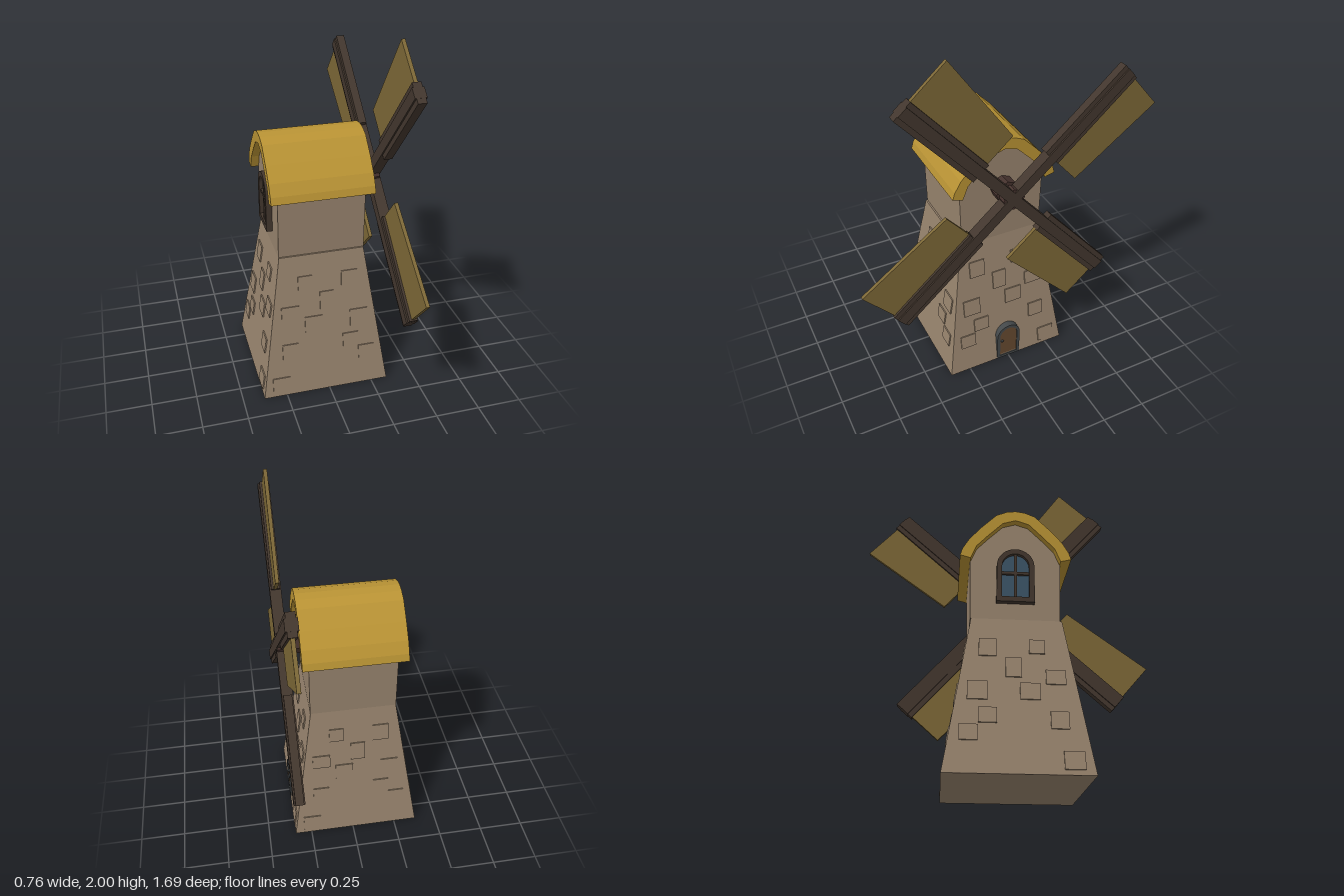
import * as THREE from 'three';

const mat = (color) => new THREE.MeshStandardMaterial({ color, flatShading: true });
const stone = mat(0x98846e), thatch = mat(0xb99334), canvas = mat(0x7d6837), timber = mat(0x43372e);
const iron = mat(0x44484a), wood = mat(0x66492f), axleWood = mat(0x45322d), glass = mat(0x3c5568);

const CX = -0.018, CZ = 0.007; // tower axis
const HUB_Y = 1.155;

function add(parent, name, geometry, material, x = 0, y = 0, z = 0) {
  const mesh = new THREE.Mesh(geometry, material);
  mesh.name = name;
  mesh.position.set(x, y, z);
  parent.add(mesh);
  return mesh;
}

// Side-on outline extruded along +x between x0 and x1
function slab(shape, x0, x1) {
  const g = new THREE.ExtrudeGeometry(shape, { depth: x1 - x0, bevelEnabled: false, curveSegments: 8 });
  return g.rotateY(Math.PI / 2).translate(x0, 0, 0);
}

const outline = (pts) => new THREE.Shape(pts.map((p) => new THREE.Vector2(...p)));
const mirrored = (half) => [...half, ...half.filter((p) => p[0] > 0).reverse().map(([a, b]) => [-a, b])];

// Round-topped opening
function arch(w, y0, y1) {
  const r = w / 2, s = new THREE.Shape();
  s.moveTo(-r, y0);
  s.lineTo(r, y0);
  s.lineTo(r, y1 - r);
  s.absarc(0, y1 - r, r, 0, Math.PI, false);
  s.closePath();
  return s;
}

function archFrame(w, y0, y1, t) {
  const s = arch(w, y0, y1);
  s.holes.push(arch(w - 2 * t, y0 + t, y1 - t));
  return s;
}

function buildTower() {
  const tower = new THREE.Group();
  tower.name = 'tower';
  const bottom = 0.3625, top = 0.237, height = 0.83;
  const base = new THREE.CylinderGeometry(top * Math.SQRT2, bottom * Math.SQRT2, height, 4, 1, false, Math.PI / 4);
  add(tower, 'taperedBase', base, stone, CX, height / 2, CZ);

  // Upper storey with rounded gable ends
  const gable = mirrored([[0.235, 0.83], [0.243, 1.16], [0.215, 1.24], [0.155, 1.31], [0.075, 1.385], [0, 1.41]]);
  add(tower, 'gableStorey', slab(outline(gable), -0.255, 0.222), stone);

  // Scattered raised stones on each sloping wall: [across, height, width, tall]
  const stones = [
    [-0.15, 0.66, 0.09, 0.1], [0.1, 0.67, 0.08, 0.08], [-0.02, 0.55, 0.08, 0.11],
    [0.19, 0.5, 0.1, 0.08], [-0.2, 0.42, 0.1, 0.1], [0.06, 0.42, 0.1, 0.09],
    [-0.24, 0.2, 0.09, 0.08], [0.2, 0.27, 0.09, 0.09], [0.26, 0.07, 0.1, 0.09], [-0.15, 0.29, 0.09, 0.08],
  ];
  const lean = Math.atan((bottom - top) / height);
  for (let k = 0; k < 4; k++) {
    const wall = new THREE.Group();
    wall.name = 'wallStones';
    wall.position.set(CX, 0, CZ);
    wall.rotation.y = k * Math.PI / 2;
    for (const [u, y, w, h] of stones) {
      const z = bottom + (top - bottom) * y / height;
      const b = add(wall, 'stone', new THREE.BoxGeometry(w, h, 0.014), stone, k % 2 ? u : -u, y, z);
      b.rotation.x = -lean;
    }
    tower.add(wall);
  }
  return tower;
}

function buildRoof() {
  const outer = mirrored([[0.297, 1.175], [0.285, 1.215], [0.25, 1.275], [0.185, 1.35], [0.105, 1.43], [0.05, 1.453], [0, 1.46]]);
  const inner = mirrored([[0.24, 1.16], [0.21, 1.235], [0.15, 1.3], [0.07, 1.38], [0, 1.402]]);
  return slab(outline([...outer, ...inner.reverse()]), -0.3, 0.26);
}

function buildDoor() {
  const door = new THREE.Group();
  door.name = 'door';
  add(door, 'doorFrame', slab(archFrame(0.145, 0, 0.24, 0.018), 0.25, 0.346), iron);
  add(door, 'doorPanel', slab(arch(0.12, 0.012, 0.227), 0.25, 0.341), wood);
  add(door, 'doorKnob', new THREE.SphereGeometry(0.009, 8, 6), iron, 0.343, 0.13, 0.04);
  return door;
}

function buildWindow() {
  const win = new THREE.Group();
  win.name = 'window';
  add(win, 'windowFrame', slab(archFrame(0.2, 0.92, 1.23, 0.028), -0.288, -0.25), timber);
  add(win, 'windowGlass', slab(arch(0.16, 0.94, 1.21), -0.266, -0.25), glass);
  add(win, 'windowMullion', new THREE.BoxGeometry(0.02, 0.27, 0.016), timber, -0.27, 1.075, 0);
  add(win, 'windowCrossbar', new THREE.BoxGeometry(0.02, 0.016, 0.16), timber, -0.27, 1.09, 0);
  return win;
}

function buildRotor() {
  const rotor = new THREE.Group();
  rotor.name = 'rotor';
  rotor.position.set(0.34, HUB_Y, 0);
  rotor.rotation.y = 0.012;
  const drum = (r, len) => new THREE.CylinderGeometry(r, r, len, 8).rotateZ(Math.PI / 2);
  add(rotor, 'axle', drum(0.04, 0.18), axleWood, -0.06);
  add(rotor, 'axleCollar', drum(0.066, 0.07), axleWood, -0.08);
  add(rotor, 'hub', drum(0.062, 0.05), axleWood);

  for (let k = 0; k < 4; k++) {
    const arm = new THREE.Group();
    arm.name = 'sailArm';
    arm.rotation.x = 0.721 + k * Math.PI / 2;
    add(arm, 'beam', new THREE.BoxGeometry(0.062, 0.87, 0.058), timber, 0, 0.435, 0);
    add(arm, 'spar', new THREE.BoxGeometry(0.046, 0.585, 0.114), timber, 0, 0.577, 0);
    // Sail board, slightly tapered; one is fitted the other way round
    const [wIn, wOut] = k === 2 ? [0.28, 0.252] : [0.24, 0.296];
    const board = outline([[0, 0.285], [wIn, 0.285], [wOut, 0.862], [0, 0.862]]);
    add(arm, 'sail', slab(board, -0.01, 0.01), canvas);
    rotor.add(arm);
  }
  return rotor;
}

export function createModel() {
  const mill = new THREE.Group();
  mill.name = 'windmill';
  mill.add(buildTower(), buildDoor(), buildWindow(), buildRotor());
  add(mill, 'roof', buildRoof(), thatch);
  return mill;
}
